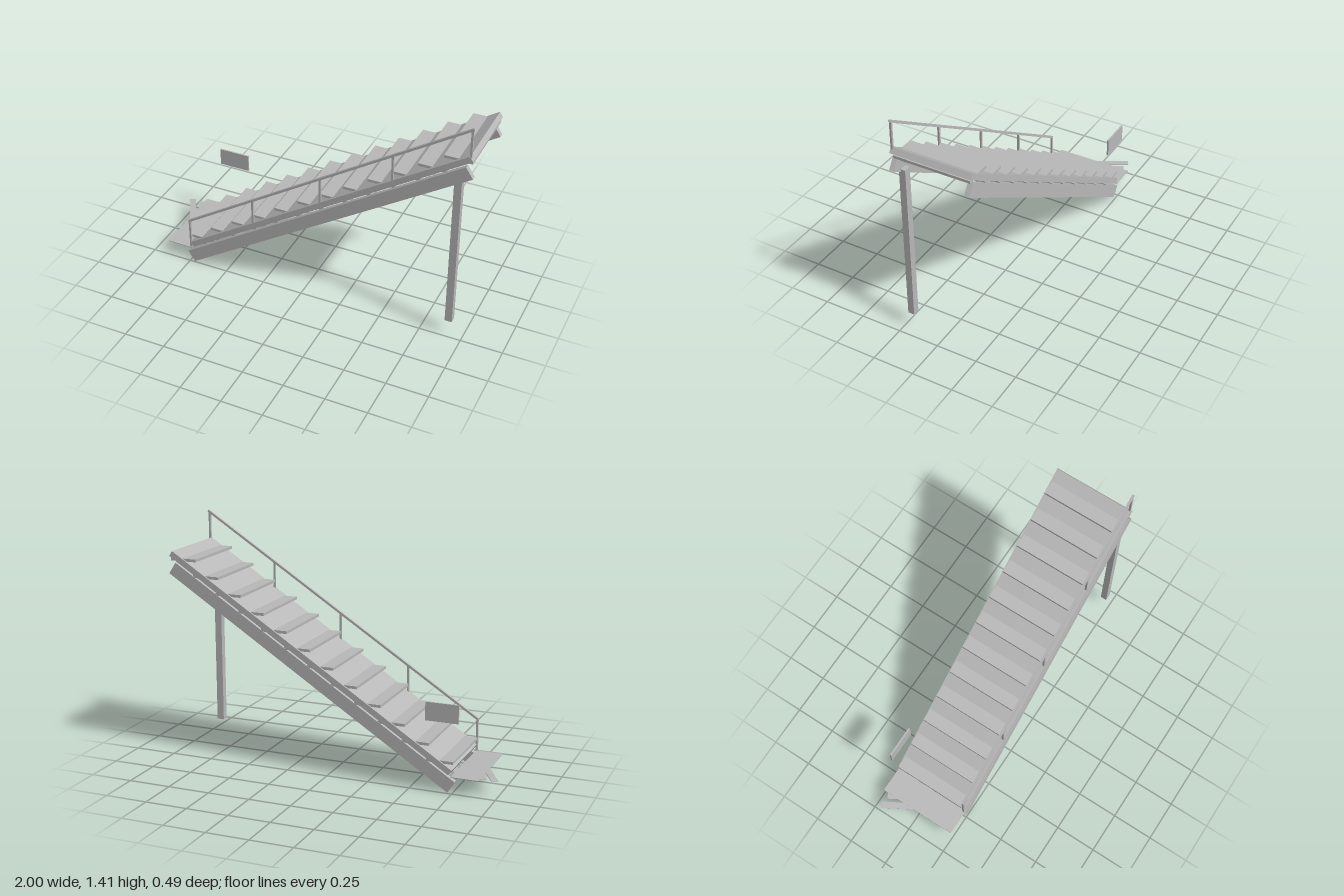
import * as THREE from 'three';

export function createModel() {
  const model = new THREE.Group();
  model.name = 'staircase';
  const grey = new THREE.MeshStandardMaterial({ color: 0xb8b8b8 });
  grey.name = 'plain grey';

  const angle = Math.atan(0.642);
  const cos = Math.cos(angle), sin = Math.sin(angle);

  // Upright box given by its minimum and maximum corners
  function box(name, x0, x1, y0, y1, z0, z1, parent = model) {
    const mesh = new THREE.Mesh(new THREE.BoxGeometry(x1 - x0, y1 - y0, z1 - z0), grey);
    mesh.name = name;
    mesh.position.set((x0 + x1) / 2, (y0 + y1) / 2, (z0 + z1) / 2);
    parent.add(mesh);
    return mesh;
  }

  // Box along the slope, given by its upper corner at the low end
  function slopedBox(name, x, y, run, thickness, z0, z1, parent = model) {
    const length = run / cos;
    const mesh = new THREE.Mesh(new THREE.BoxGeometry(length, thickness, z1 - z0), grey);
    mesh.name = name;
    mesh.position.set(
      x + run / 2 + sin * thickness / 2,
      y + length * sin / 2 - cos * thickness / 2,
      (z0 + z1) / 2);
    mesh.rotation.z = angle;
    parent.add(mesh);
    return mesh;
  }

  // Stringers and the sloping slab above them
  slopedBox('frontStringer', -0.762, 0.066, 1.718, 0.078, 0.217, 0.245);
  slopedBox('backStringer', -0.762, 0.066, 1.718, 0.078, -0.237, -0.207);
  slopedBox('slab', -0.745, 0.135, 1.717, 0.035, -0.245, 0.242);

  // Treads cutting through the slab
  const treads = new THREE.Group();
  treads.name = 'treads';
  model.add(treads);
  for (let i = 0; i < 12; i++) {
    const x = -0.75 + i * 0.1432, y = 0.174 + i * 0.0922;
    box('tread', x, x + 0.16, y - 0.008, y + 0.008, -0.235, 0.222, treads);
  }

  // Single support post under the top
  box('supportPost', 0.892, 0.935, 0.096, 1.08, 0.19, 0.229);

  // Handrail with five posts
  const handrail = new THREE.Group();
  handrail.name = 'handrail';
  model.add(handrail);
  slopedBox('rail', -0.751, 0.296, 1.732, 0.013, 0.225, 0.239, handrail);
  for (let i = 0; i < 5; i++) {
    const x = -0.745 + i * 0.43, top = 0.289 + i * 0.43 * 0.642;
    box('railPost', x - 0.006, x + 0.006, top - (i === 0 ? 0.19 : 0.165), top, 0.226, 0.238, handrail);
  }

  // Landing plate and the slanted floor strips
  box('landingPlate', -0.9, -0.74, 0.093, 0.097, -0.245, 0.24);
  const strips = new THREE.Group();
  strips.name = 'floorStrips';
  model.add(strips);
  for (let i = 0; i < 6; i++) {
    const strip = new THREE.Mesh(new THREE.BoxGeometry(0.23, 0.003, 0.039), grey);
    strip.name = 'floorStrip';
    strip.position.set(-0.925 + i * 0.067, 0.0945, -0.106);
    strip.rotation.y = -Math.PI / 3;
    strips.add(strip);
  }

  // Hanging sign board at the low end
  box('signBoard', -0.78, -0.587, 0.408, 0.515, -0.246, -0.236);

  return model;
}
